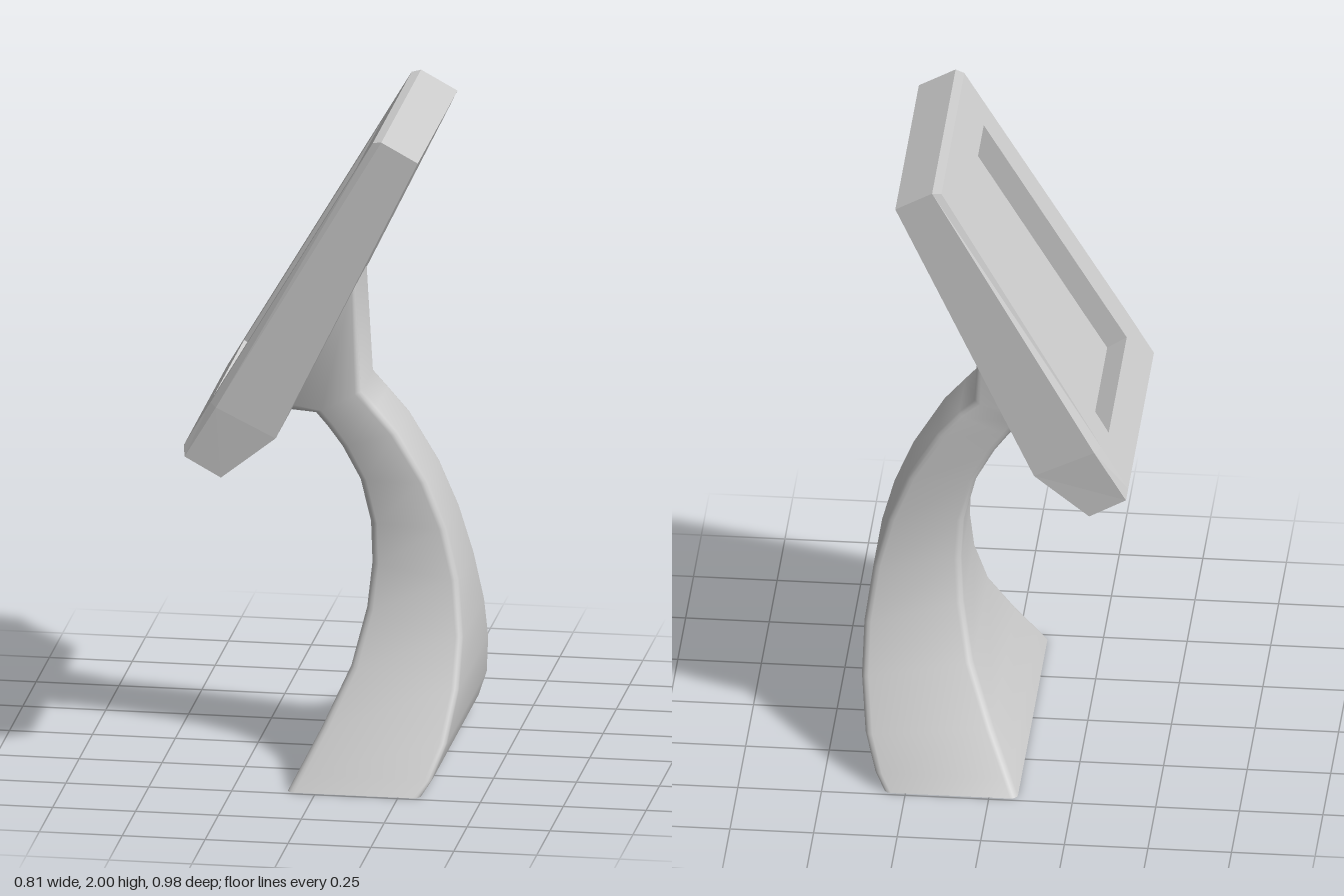
import * as THREE from 'three';
import { toCreasedNormals } from 'three/addons/utils/BufferGeometryUtils.js';

// Skin a stack of equal-length rings of Vector3 with quads
function loft(rings, quads = []) {
  const pos = [];
  const quad = (a, b, c, d) => { for (const p of [a, b, c, a, c, d]) pos.push(p.x, p.y, p.z); };
  for (let k = 0; k < rings.length - 1; k++) {
    const a = rings[k], b = rings[k + 1], n = a.length;
    for (let i = 0; i < n; i++) {
      const j = (i + 1) % n;
      quad(a[i], a[j], b[j], b[i]);
    }
  }
  for (const q of quads) quad(...q);
  const g = new THREE.BufferGeometry();
  g.setAttribute('position', new THREE.Float32BufferAttribute(pos, 3));
  g.computeVertexNormals();
  return g;
}

// Half width of the stand at a given height
const WIDTHS = [[0, 0.49], [0.2, 0.35], [0.3, 0.28], [0.4, 0.225], [0.5, 0.18], [0.6, 0.152],
  [0.7, 0.135], [0.85, 0.125], [1.1, 0.122], [1.5, 0.12]];
function halfWidth(y) {
  for (let i = 1; i < WIDTHS.length; i++) {
    const [y0, w0] = WIDTHS[i - 1], [y1, w1] = WIDTHS[i];
    if (y <= y1) return w0 + (w1 - w0) * (y - y0) / (y1 - y0);
  }
  return WIDTHS[WIDTHS.length - 1][1];
}

// Curved stand: rounded rectangular sections between a screen-side and a rear profile
function standGeometry() {
  const stations = [ // screen side x, y, rear x, y
    [-0.085, 0, 0.315, 0], [-0.06, 0.05, 0.345, 0.045], [0, 0.17, 0.38, 0.14], [0.07, 0.33, 0.4, 0.28],
    [0.105, 0.49, 0.4, 0.42], [0.115, 0.62, 0.378, 0.58], [0.108, 0.74, 0.338, 0.73],
    [0.075, 0.87, 0.28, 0.87], [0.02, 0.97, 0.19, 1.02], [-0.025, 1.03, 0.125, 1.095],
    [-0.06, 1.07, 0.08, 1.145], [-0.14, 1.075, 0.06, 1.485]];
  const r = 0.022, steps = 3;
  const rings = stations.map(([lx, ly, rx, ry]) => {
    const len = Math.hypot(rx - lx, ry - ly);
    const point = (t, inset, side) => {
      const x = lx + (rx - lx) * t, y = ly + (ry - ly) * t;
      return new THREE.Vector3(x, y, side * (halfWidth(y) - inset));
    };
    const corner = [];
    for (let i = 0; i <= steps; i++) {
      const a = i / steps * Math.PI / 2;
      corner.push([r * (1 - Math.cos(a)) / len, r * (1 - Math.sin(a))]);
    }
    const back = [...corner].reverse();
    return [
      ...corner.map(([t, d]) => point(1 - t, d, -1)),
      ...back.map(([t, d]) => point(t, d, -1)),
      ...corner.map(([t, d]) => point(t, d, 1)),
      ...back.map(([t, d]) => point(1 - t, d, 1))];
  });
  return toCreasedNormals(loft(rings), 0.85);
}

// Screen housing: rings from the back edge over the bevel into the recess
function panelGeometry() {
  const ring = (pts, dx = 0, dy = 0, dz = 0) => {
    const half = pts.map(([x, y, z]) => new THREE.Vector3(x + dx, y + dy, z - dz));
    const mirrored = half.map(p => new THREE.Vector3(p.x, p.y, -p.z)).reverse();
    return [...half, ...mirrored];
  };
  const caps = ([a, b, c, d, e, f]) => [[a, b, e, f], [b, c, d, e]];
  const back = ring([[-0.295, 0.95, 0.43], [-0.13, 1.08, 0.43], [0.29, 1.94, 0.375]]);
  const rim = ring([[-0.405, 1.01, 0.428], [-0.31, 1.168, 0.43], [0.18, 2, 0.375]]);
  const front = ring([[-0.41, 1.04, 0.41], [-0.33, 1.176, 0.408], [0.153, 1.995, 0.365]]);
  const opening = [[-0.34, 1.159, 0.288], [-0.27, 1.277, 0.283], [0.085, 1.879, 0.26]];
  const depth = 0.067;
  const floor = ring(opening, 0.86 * depth, -0.51 * depth, 0.008);
  const backCaps = caps(back).map(q => q.reverse());
  return loft([back, rim, front, ring(opening), floor], [...backCaps, ...caps(floor)]);
}

export function createModel() {
  const model = new THREE.Group();
  model.name = 'kiosk';

  // Hollow stand, open underneath
  const stand = new THREE.Mesh(standGeometry(),
    new THREE.MeshStandardMaterial({ color: 0xcccccc, side: THREE.DoubleSide }));
  stand.name = 'stand';

  // Tilted housing with the recessed screen
  const panel = new THREE.Mesh(panelGeometry(),
    new THREE.MeshStandardMaterial({ color: 0xcccccc, flatShading: true }));
  panel.name = 'screenHousing';
  panel.position.z = -0.008;

  model.add(stand, panel);
  return model;
}
